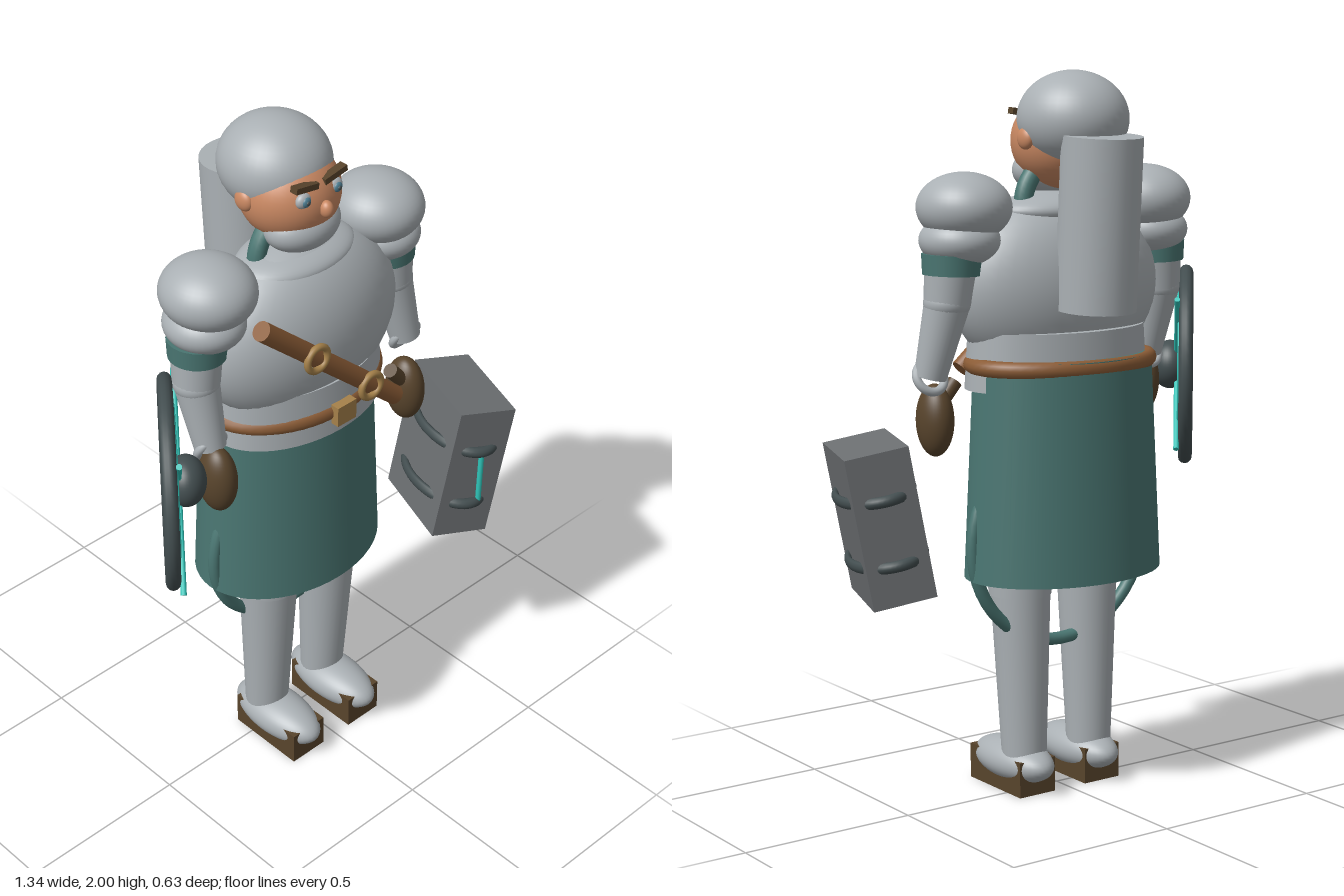
import * as THREE from 'three';

const V = (x, y, z) => new THREE.Vector3(x, y, z);
const mat = (name, color) => {
  const m = new THREE.MeshStandardMaterial({ color });
  m.name = name;
  return m;
};

export function createModel() {
  const steel = mat('steel', 0xaab0b4), skin = mat('skin', 0xc98862);
  const teal = mat('teal cloth', 0x4a7672), glow = mat('bright teal', 0x2fc4b8);
  const leather = mat('leather', 0x8b5c36), darkBrown = mat('dark brown', 0x58442c);
  const slate = mat('slate', 0x434e50), iron = mat('iron', 0x6c6f72);
  const brass = mat('brass', 0xa5814a), blue = mat('eye blue', 0x4f7f93);

  const model = new THREE.Group();
  model.name = 'armouredFigure';

  // Helpers: each adds one named mesh to a parent
  const add = (name, geo, m, pos = [0, 0, 0], rot = [0, 0, 0], parent = model) => {
    const mesh = new THREE.Mesh(geo, m);
    mesh.name = name;
    mesh.position.set(...pos);
    mesh.rotation.set(...rot);
    parent.add(mesh);
    return mesh;
  };
  const ball = (name, m, pos, r, parent) =>
    add(name, new THREE.SphereGeometry(1, 40, 26).scale(...r), m, pos, [0, 0, 0], parent);
  const box = (name, m, pos, size, rot, parent) =>
    add(name, new THREE.BoxGeometry(...size), m, pos, rot, parent);
  const ring = (name, m, pos, R, t, rot, parent) =>
    add(name, new THREE.TorusGeometry(R, t, 12, 56), m, pos, rot, parent);
  const rod = (name, m, a, b, ra, rb = ra, parent = model) => {
    const d = b.clone().sub(a);
    const mesh = add(name, new THREE.CylinderGeometry(rb, ra, d.length(), 28), m, [0, 0, 0], [0, 0, 0], parent);
    mesh.position.copy(a).addScaledVector(d, 0.5);
    mesh.quaternion.setFromUnitVectors(V(0, 1, 0), d.normalize());
    return mesh;
  };

  // Head
  ball('head', skin, [0, 1.81, -0.02], [0.138, 0.13, 0.134]);
  ball('helmet', steel, [0, 1.87, -0.075], [0.15, 0.13, 0.155]);
  ball('beard', steel, [0, 1.73, 0.025], [0.115, 0.07, 0.088]);
  ball('nose', skin, [0, 1.81, 0.118], [0.018, 0.024, 0.02]);
  for (const s of [-1, 1]) {
    ball('ear', skin, [s * 0.135, 1.82, -0.045], [0.018, 0.03, 0.03]);
    ball('eye', steel, [s * 0.055, 1.845, 0.09], [0.024, 0.022, 0.016]);
    ball('iris', blue, [s * 0.055, 1.845, 0.102], [0.014, 0.014, 0.008]);
    ball('pupil', slate, [s * 0.055, 1.845, 0.109], [0.006, 0.006, 0.004]);
    box('eyebrow', darkBrown, [s * 0.05, 1.882, 0.09], [0.078, 0.017, 0.024], [0, 0, s * 0.17]);
  }
  ring('scarf', teal, [0, 1.64, -0.015], 0.122, 0.026);

  // Torso, skirt and belt
  ball('chest', steel, [0, 1.42, 0.01], [0.325, 0.262, 0.18]);
  ball('collar', steel, [0, 1.625, 0], [0.19, 0.05, 0.12]);
  add('waist', new THREE.CylinderGeometry(0.27, 0.28, 0.16, 48).scale(1, 1, 0.655), steel, [0, 1.225, 0]);
  add('skirt', new THREE.CylinderGeometry(0.267, 0.297, 0.605, 48).scale(1, 1, 0.73), teal, [0, 0.927, -0.03]);
  const belt = ring('belt', leather, [0, 1.212, -0.02], 0.268, 0.023, [Math.PI / 2, 0, 0]);
  belt.scale.set(1, 0.72, 1);
  box('beltBuckle', brass, [0, 1.21, 0.19], [0.068, 0.06, 0.03]);

  // Chest strap with rings
  rod('chestStrap', leather, V(-0.285, 1.6, 0.18), V(0.185, 1.175, 0.2), 0.027);
  ring('strapRing', brass, [-0.12, 1.45, 0.213], 0.035, 0.01);
  ring('strapRing', brass, [0.073, 1.272, 0.22], 0.035, 0.01);

  // Rolled bundle on the back
  rod('backRoll', steel, V(0, 1.365, -0.178), V(0, 1.83, -0.206), 0.11);

  // Hoop hanging below the skirt
  ring('hangingHoop', teal, [0, 0.715, -0.015], 0.292, 0.018);

  // Legs and feet
  for (const s of [-1, 1]) {
    const leg = new THREE.Group();
    leg.name = s > 0 ? 'leftLeg' : 'rightLeg';
    model.add(leg);
    rod('shin', steel, V(s * 0.112, 0.08, 0), V(s * 0.115, 0.62, 0.015), 0.062, 0.086, leg);
    rod('thigh', steel, V(s * 0.115, 0.565, 0.015), V(s * 0.115, 0.75, 0.015), 0.088, 0.092, leg);
    ball('footArmour', steel, [s * 0.112, 0.078, 0.05], [0.079, 0.06, 0.16], leg);
    box('shoe', darkBrown, [s * 0.112, 0.05, 0.058], [0.12, 0.1, 0.245], [0, 0, 0], leg);
  }

  // Arms: elbow, wrist and hand differ slightly on each side
  const arms = [
    { s: -1, wrist: V(-0.352, 1.2, 0.05), hand: [-0.36, 1.115, 0.085] },
    { s: 1, wrist: V(0.392, 1.19, 0.035), hand: [0.342, 1.062, 0.09] },
  ];
  for (const { s, wrist, hand } of arms) {
    const arm = new THREE.Group();
    arm.name = s > 0 ? 'leftArm' : 'rightArm';
    model.add(arm);
    ball('shoulderGuard', steel, [s * 0.303, 1.642, 0], [0.127, 0.094, 0.133], arm);
    ball('lowerGuard', steel, [s * 0.318, 1.555, 0], [0.108, 0.07, 0.113], arm);
    rod('armBand', teal, V(s * 0.345, 1.465, 0), V(s * 0.343, 1.52, 0), 0.078, 0.082, arm);
    rod('upperArm', steel, V(s * 0.355, 1.39, 0.005), V(s * 0.345, 1.5, 0), 0.064, 0.072, arm);
    ball('elbow', steel, [s * 0.356, 1.39, 0.005], [0.064, 0.05, 0.064], arm);
    rod('forearm', steel, wrist, V(s * 0.356, 1.39, 0.005), 0.044, 0.062, arm);
    ring('cuff', steel, wrist.toArray(), 0.042, 0.012, [0.5, 0, 0], arm);
    ball('glove', darkBrown, hand, [0.048, 0.1, 0.062], arm);
  }
  rod('handle', darkBrown, V(0.27, 1.16, 0.1), V(0.34, 1.08, 0.1), 0.021);

  // Round shield, built facing +z and turned towards the body
  const shield = new THREE.Group();
  shield.name = 'shield';
  shield.position.set(-0.49, 1.15, 0.04);
  shield.rotation.y = 0.89;
  model.add(shield);
  add('shieldDisc', new THREE.CylinderGeometry(0.268, 0.268, 0.03, 56), iron, [0, 0, 0], [Math.PI / 2, 0, 0], shield);
  ring('shieldRim', slate, [0, 0, 0], 0.267, 0.02, [0, 0, 0], shield);
  ball('shieldBoss', slate, [0, 0, 0.045], [0.07, 0.07, 0.055], shield);
  for (const R of [0.1, 0.15, 0.2]) ring('shieldRing', glow, [0, 0, 0.018], R, 0.006, [0, 0, 0], shield);
  for (const a of [Math.PI / 4, -Math.PI / 4])
    add('shieldSpoke', new THREE.CylinderGeometry(0.008, 0.008, 0.6, 12), glow, [0, 0, 0.025], [0, 0, a], shield);

  // Hanging iron case with bands and a bright bar
  const chest = new THREE.Group();
  chest.name = 'ironCase';
  chest.position.set(0.495, 0.8, 0.135);
  chest.rotation.set(0, -0.34, -0.18, 'YXZ');
  model.add(chest);
  box('caseBody', iron, [0, 0, 0], [0.176, 0.42, 0.293], [0, 0, 0], chest);
  for (const y of [0.08, -0.1]) {
    const band = ring('caseBand', slate, [0, y, 0], 0.155, 0.016, [Math.PI / 2, 0, 0], chest);
    band.scale.set(0.66, 1, 1);
  }
  add('caseBar', new THREE.CylinderGeometry(0.008, 0.008, 0.17, 12), glow, [0.02, -0.01, 0.152], [0, 0, 0.16], chest);

  return model;
}
